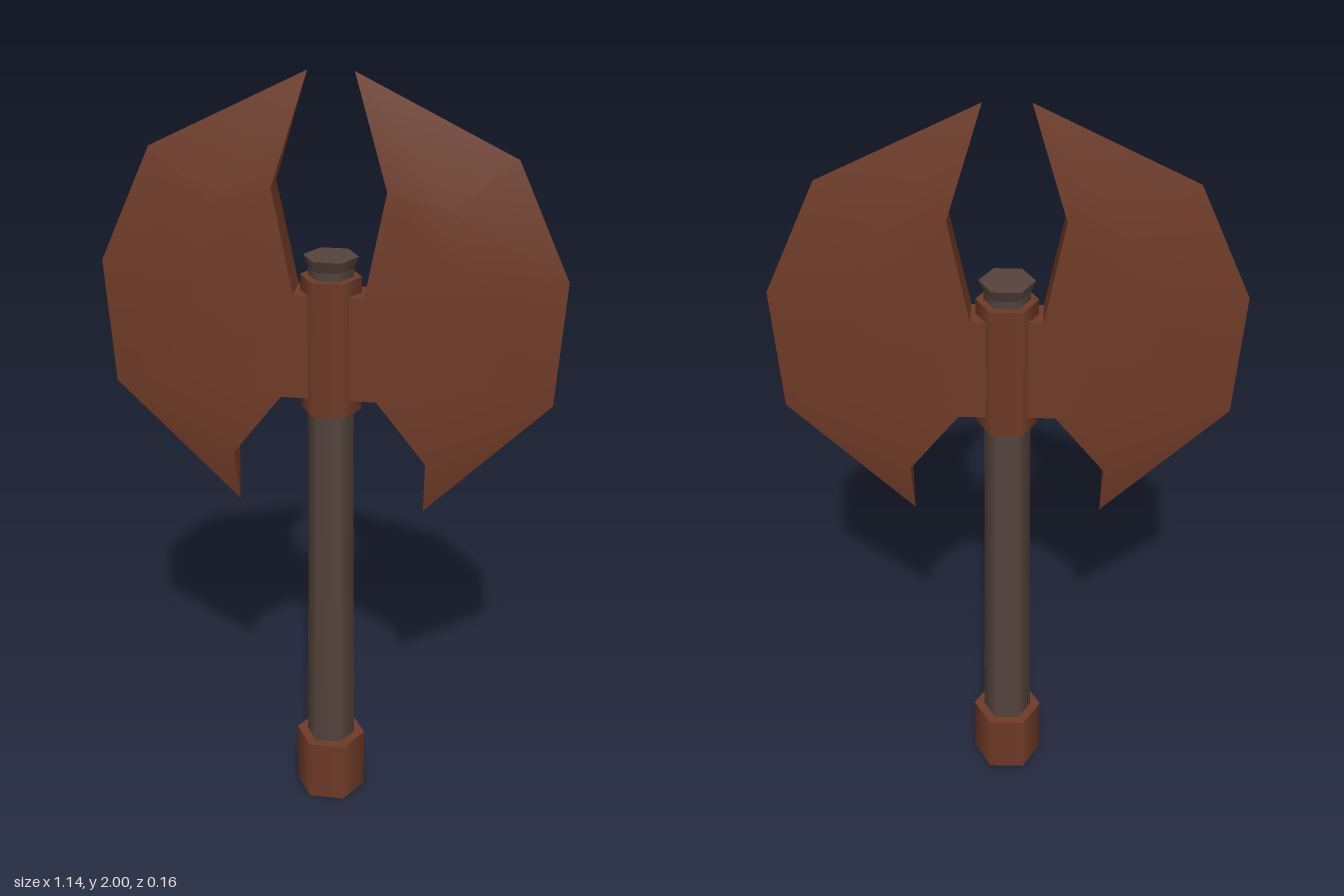
import * as THREE from 'three';
import { toCreasedNormals } from 'three/addons/utils/BufferGeometryUtils.js';

const rust = new THREE.MeshStandardMaterial({ color: 0x6e3a26 });
rust.name = 'rustedMetal';
const wood = new THREE.MeshStandardMaterial({ color: 0x54433c });
wood.name = 'darkWood';

// Six-sided section with corners on the x axis
function hex(name, material, y0, y1, r0, r1, open = false) {
  const geometry = new THREE.CylinderGeometry(r1, r0, y1 - y0, 6, 1, open, Math.PI / 6);
  const mesh = new THREE.Mesh(geometry, material);
  mesh.name = name;
  mesh.position.y = (y0 + y1) / 2;
  return mesh;
}

// Blade: thick at the root, sharp along the outer edge
function bladeGeometry() {
  const P = {
    topTip: [0.055, 2.0, 0],
    topInner: [0.138, 1.73, 0.036], topMid: [0.29, 1.69, 0.036], topOuter: [0.44, 1.81, 0],
    rootTop: [0.04, 1.47, 0.044], neckTop: [0.087, 1.47, 0.044],
    midTop: [0.35, 1.49, 0.035], edgeTop: [0.572, 1.52, 0],
    rootLow: [0.04, 1.2, 0.044], neckLow: [0.12, 1.2, 0.044],
    midLow: [0.35, 1.25, 0.035], edgeLow: [0.553, 1.2, 0],
    lowInner: [0.245, 1.035, 0.037], lowTip: [0.24, 0.885, 0],
  };
  // Front faces, counter-clockwise
  const faces = [
    'topTip topInner topMid', 'topTip topMid topOuter',
    'topInner neckTop midTop topMid', 'topMid midTop edgeTop topOuter',
    'rootTop rootLow neckLow neckTop', 'neckTop neckLow midLow midTop',
    'midTop midLow edgeLow edgeTop', 'neckLow lowInner midLow',
    'lowInner lowTip edgeLow midLow',
  ];
  // Inner rim joining front to back
  const rim = ['topTip', 'topInner', 'neckTop', 'rootTop', 'rootLow', 'neckLow', 'lowInner', 'lowTip'];

  const out = [];
  const tri = (a, b, c) => out.push(...a, ...b, ...c);
  const back = ([x, y, z]) => [x, y, -z];
  for (const face of faces) {
    const p = face.split(' ').map((n) => P[n]);
    for (let i = 1; i < p.length - 1; i++) {
      tri(p[0], p[i], p[i + 1]);
      tri(back(p[0]), back(p[i + 1]), back(p[i]));
    }
  }
  for (let i = 0; i < rim.length - 1; i++) {
    const a = P[rim[i]], b = P[rim[i + 1]];
    if (a[2] > 0) tri(a, back(a), b);
    if (b[2] > 0) tri(b, back(a), back(b));
  }
  const geometry = new THREE.BufferGeometry();
  geometry.setAttribute('position', new THREE.Float32BufferAttribute(out, 3));
  return toCreasedNormals(geometry, Math.PI / 6);
}

export function createModel() {
  const model = new THREE.Group();
  model.name = 'doubleAxe';

  // Pommel with a slightly bevelled top
  model.add(hex('pommel', rust, 0, 0.175, 0.094, 0.094));

  // Handle in gently tapering lengths
  const steps = [[0.17, 0.066], [0.35, 0.065], [0.64, 0.061], [1.0, 0.059], [1.2, 0.058], [1.515, 0.055]];
  for (let i = 0; i < steps.length - 1; i++) {
    const [y0, r0] = steps[i], [y1, r1] = steps[i + 1];
    model.add(hex('handle', wood, y0, y1, r0, r1, true));
  }

  // Collar and flared handle end
  model.add(hex('collar', rust, 1.16, 1.51, 0.076, 0.076));
  model.add(hex('handleNeck', wood, 1.505, 1.53, 0.056, 0.056));
  model.add(hex('handleEnd', wood, 1.53, 1.56, 0.056, 0.068));

  // Two opposite blades
  const geometry = bladeGeometry();
  for (const [name, turn] of [['leftBlade', 0], ['rightBlade', Math.PI]]) {
    const blade = new THREE.Mesh(geometry, rust);
    blade.name = name;
    blade.rotation.y = turn;
    model.add(blade);
  }
  return model;
}
